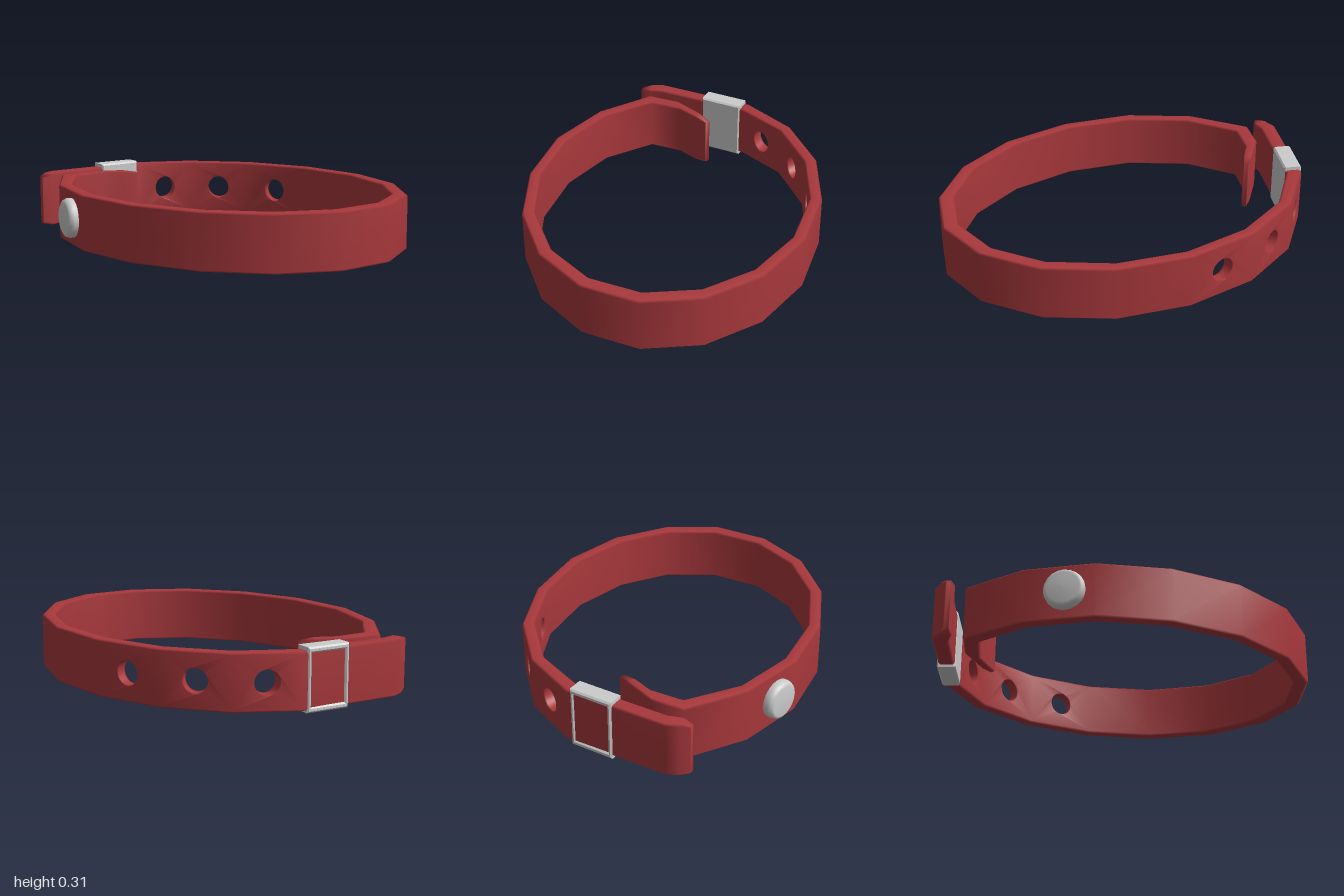
import * as THREE from 'three';
import { mergeGeometries, mergeVertices, toCreasedNormals } from 'three/addons/utils/BufferGeometryUtils.js';

const Y0 = 0.012, Y1 = 0.292, MID = (Y0 + Y1) / 2;
const HOLE = 0.062;

// Strap stations: outer x, z, inner x, z
const tongue = [
  [-0.652, -0.086, -0.634, -0.066], [-0.706, -0.027, -0.675, 0.005],
  [-0.82, 0.118, -0.735, 0.086], [-0.86, 0.283, -0.777, 0.257],
];
const frontArc = [
  [-0.64, 0.53, -0.595, 0.483], [-0.33, 0.695, -0.305, 0.636], [0.035, 0.75, 0.035, 0.69],
  [0.40, 0.695, 0.375, 0.636], [0.71, 0.533, 0.66, 0.483], [0.92, 0.288, 0.845, 0.263],
];
const side = [[0.995, 0, 0.912, 0]];
const backArc = frontArc.map(([a, b, c, d]) => [a, -b, c, -d]).reverse();
const tail = [
  [-0.852, -0.283, -0.777, -0.257], [-1, 0.232, -0.914, 0.222],
  [-0.985, 0.295, -0.914, 0.295], [-0.967, 0.34, -0.94, 0.348],
];
const stations = [...tongue, ...frontArc, ...side, ...backArc, ...tail];

// One straight panel of strap between stations a and b, with an optional round hole
function panel(a, b, hole, isFirst, isLast) {
  const shape = new THREE.Shape();
  shape.moveTo(0, Y0).lineTo(1, Y0).lineTo(1, Y1).lineTo(0, Y1).closePath();
  if (hole) {
    const length = Math.hypot(b[0] - a[0], b[1] - a[1]);
    const h = new THREE.Path();
    h.absellipse(0.5, MID, HOLE / length, HOLE, 0, Math.PI * 2, true);
    shape.holes.push(h);
  }
  const source = new THREE.ExtrudeGeometry(shape, { depth: 1, steps: 3, bevelEnabled: false, curveSegments: 14 });
  const p = source.toNonIndexed ? (source.index ? source.toNonIndexed() : source).attributes.position : null;
  const out = [];
  for (let i = 0; i < p.count; i += 3) {
    const ts = [0, 1, 2].map((k) => p.getX(i + k));
    // Only the two free ends of the strap keep their caps
    if (ts.every((t) => t < 1e-5) && !isFirst) continue;
    if (ts.every((t) => t > 1 - 1e-5) && !isLast) continue;
    for (let k = 0; k < 3; k++) {
      const t = ts[k], step = Math.round(p.getZ(i + k) * 3);
      const d = [0, 0.14, 0.86, 1][step];
      let y = p.getY(i + k);
      const onEdge = y < Y0 + 1e-4 || y > Y1 - 1e-4;
      // Chamfered long edges and free ends
      if (onEdge && (step === 0 || step === 3)) y += y < MID ? 0.009 : -0.009;
      if (onEdge && ((isFirst && t < 1e-5) || (isLast && t > 1 - 1e-5))) y += y < MID ? 0.012 : -0.012;
      const at = (n) => THREE.MathUtils.lerp(
        THREE.MathUtils.lerp(a[n + 2], b[n + 2], t), THREE.MathUtils.lerp(a[n], b[n], t), d);
      out.push(at(0), y, at(1));
    }
  }
  const g = new THREE.BufferGeometry();
  g.setAttribute('position', new THREE.Float32BufferAttribute(out, 3));
  return g;
}

function makeStrap() {
  const firstHole = stations.length - 7; // three holes in the panels before the buckle
  const panels = [];
  for (let i = 0; i < stations.length - 1; i++) {
    const hole = i >= firstHole && i < firstHole + 3;
    panels.push(panel(stations[i], stations[i + 1], hole, i === 0, i === stations.length - 2));
  }
  const g = mergeVertices(mergeGeometries(panels), 1e-4);
  g.computeVertexNormals();
  return g;
}

function rectangle(Kind, w, h) {
  return new Kind().moveTo(-w / 2, -h / 2).lineTo(w / 2, -h / 2).lineTo(w / 2, h / 2).lineTo(-w / 2, h / 2).closePath();
}

export function createModel() {
  const model = new THREE.Group();
  const red = new THREE.MeshStandardMaterial({ color: 0xa8383c });
  const grey = new THREE.MeshStandardMaterial({ color: 0xcccccc });
  const add = (parent, name, geometry, material) => {
    const mesh = new THREE.Mesh(geometry, material);
    mesh.name = name;
    parent.add(mesh);
    return mesh;
  };

  add(model, 'strap', makeStrap(), red);

  // Buckle: open frame on the outside, solid plate on the inside
  const buckle = new THREE.Group();
  buckle.name = 'buckle';
  const outline = rectangle(THREE.Shape, 0.212, 0.294);
  outline.holes.push(rectangle(THREE.Path, 0.2, 0.27));
  const frame = new THREE.ExtrudeGeometry(outline, {
    depth: 0.076, bevelEnabled: true, bevelSize: 0.008, bevelThickness: 0.008, bevelSegments: 1,
  });
  frame.translate(0, 0, -0.038);
  add(buckle, 'buckleFrame', toCreasedNormals(frame, 0.6), grey);
  const plate = add(buckle, 'bucklePlate', new THREE.BoxGeometry(0.21, 0.29, 0.012), grey);
  plate.position.z = -0.04;
  buckle.position.set(-0.853, 0.155, -0.14);
  buckle.rotation.y = Math.atan2(-0.957, -0.29);
  model.add(buckle);

  // Round stud on the front
  const profile = [[0, -0.02], [0.088, -0.02], [0.098, -0.008], [0.1, 0.022], [0.092, 0.04], [0.078, 0.048], [0, 0.05]]
    .map(([r, y]) => new THREE.Vector2(r, y));
  const stud = new THREE.LatheGeometry(profile, 20);
  stud.rotateX(Math.PI / 2);
  const button = add(model, 'stud', stud, grey);
  button.position.set(-0.455, 0.155, 0.628);
  button.rotation.y = Math.atan2(-0.46, 0.89);

  return model;
}
